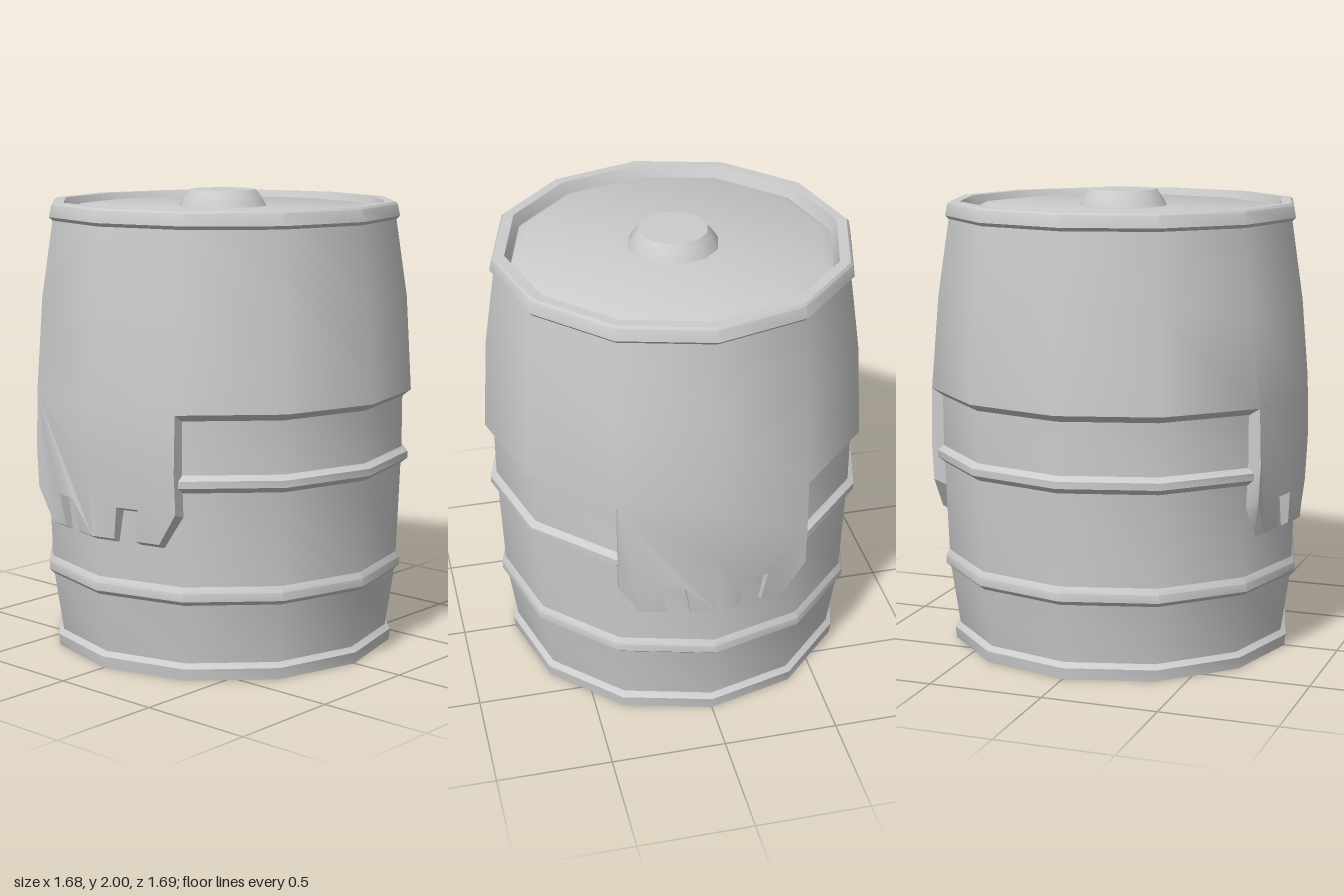
import * as THREE from 'three';
import { mergeGeometries, toCreasedNormals } from 'three/addons/utils/BufferGeometryUtils.js';

const SIDES = 12;
const CREASE = 0.6;
const material = new THREE.MeshStandardMaterial({ color: 0xcccccc });

// Twelve-sided turned solid from [radius, y] pairs, listed from bottom to top
function turned(profile) {
  const points = profile.map(([r, y]) => new THREE.Vector2(r, y));
  return new THREE.LatheGeometry(points, SIDES).toNonIndexed();
}

function addMesh(group, name, geometry) {
  const mesh = new THREE.Mesh(toCreasedNormals(geometry, CREASE), material);
  mesh.name = name;
  group.add(mesh);
}

// Outer radius of the hanging flap at height y
function flapRadius(y) {
  if (y > 0.9) return THREE.MathUtils.mapLinear(y, 0.9, 1.14, 0.847, 0.84);
  if (y > 0.72) return THREE.MathUtils.mapLinear(y, 0.72, 0.9, 0.838, 0.847);
  return THREE.MathUtils.mapLinear(y, 0.59, 0.72, 0.82, 0.838);
}

// Half of a flap (side = 1 or -1), bent onto one facet, with a sloping lower edge
function flapHalf(side) {
  const outline = [
    [0, 1.14], [0, 0.9], [0, 0.59], [0.106, 0.59], [0.132, 0.73], [0.233, 0.73],
    [0.207, 0.59], [0.317, 0.59], [0.407, 0.73], [0.407, 0.9], [0.407, 1.14],
  ];
  const shape = new THREE.Shape(outline.map(([x, y]) => new THREE.Vector2(x * side, y)));
  const geometry = new THREE.ExtrudeGeometry(shape, { depth: 1, steps: 1, bevelEnabled: false });
  const p = geometry.attributes.position;
  for (let i = 0; i < p.count; i++) {
    const x = p.getX(i), y = p.getY(i), outer = p.getZ(i) > 0.5;
    const radius = outer ? flapRadius(y) : 0.77;
    p.setXYZ(i, outer ? x : x * 0.98, !outer && y < 0.8 ? y - 0.028 : y, radius - Math.abs(x) * 0.235);
  }
  return geometry;
}

export function createModel() {
  const group = new THREE.Group();
  group.name = 'barrel';

  // Inner body with foot rim, two hoops and a recessed underside
  addMesh(group, 'body', turned([
    [0, 0.08], [0.31, 0.08], [0.31, 0.05], [0.69, 0.05], [0.7, 0], [0.76, 0],
    [0.765, 0.05], [0.742, 0.07], [0.78, 0.33], [0.802, 0.35], [0.802, 0.385], [0.785, 0.41],
    [0.8, 0.81], [0.83, 0.835], [0.83, 0.865], [0.803, 0.885], [0.803, 1.16],
  ]));

  // Outer shell with sloping hem and top rim
  const shell = turned([
    [0.79, 1.11], [0.803, 1.11], [0.84, 1.14], [0.815, 1.55], [0.765, 1.88],
    [0.78, 1.895], [0.77, 1.945], [0.76, 1.955], [0.715, 1.955], [0.69, 1.9],
  ]);
  const p = shell.attributes.position;
  for (let i = 0; i < p.count; i++) {
    // Fit the hem to the corners of the flaps
    if (p.getY(i) < 1.2 && Math.abs(p.getZ(i)) > 0.6 && Math.abs(p.getX(i)) > 0.1) {
      p.setX(i, p.getX(i) * 0.969);
      p.setZ(i, p.getZ(i) * 1.024);
    }
  }
  // Matching toothed flaps at front and back
  const front = mergeGeometries([flapHalf(1), flapHalf(-1)]);
  const back = front.clone().rotateY(Math.PI);
  addMesh(group, 'shellWithFlaps', mergeGeometries([shell, front, back]));

  // Sunken lid and central plug
  addMesh(group, 'lid', turned([[0.7, 1.9], [0.645, 1.93], [0, 1.93]]));
  addMesh(group, 'plug', turned([[0.195, 1.93], [0.185, 1.95], [0.165, 1.98], [0.148, 2], [0, 2]]));

  return group;
}
